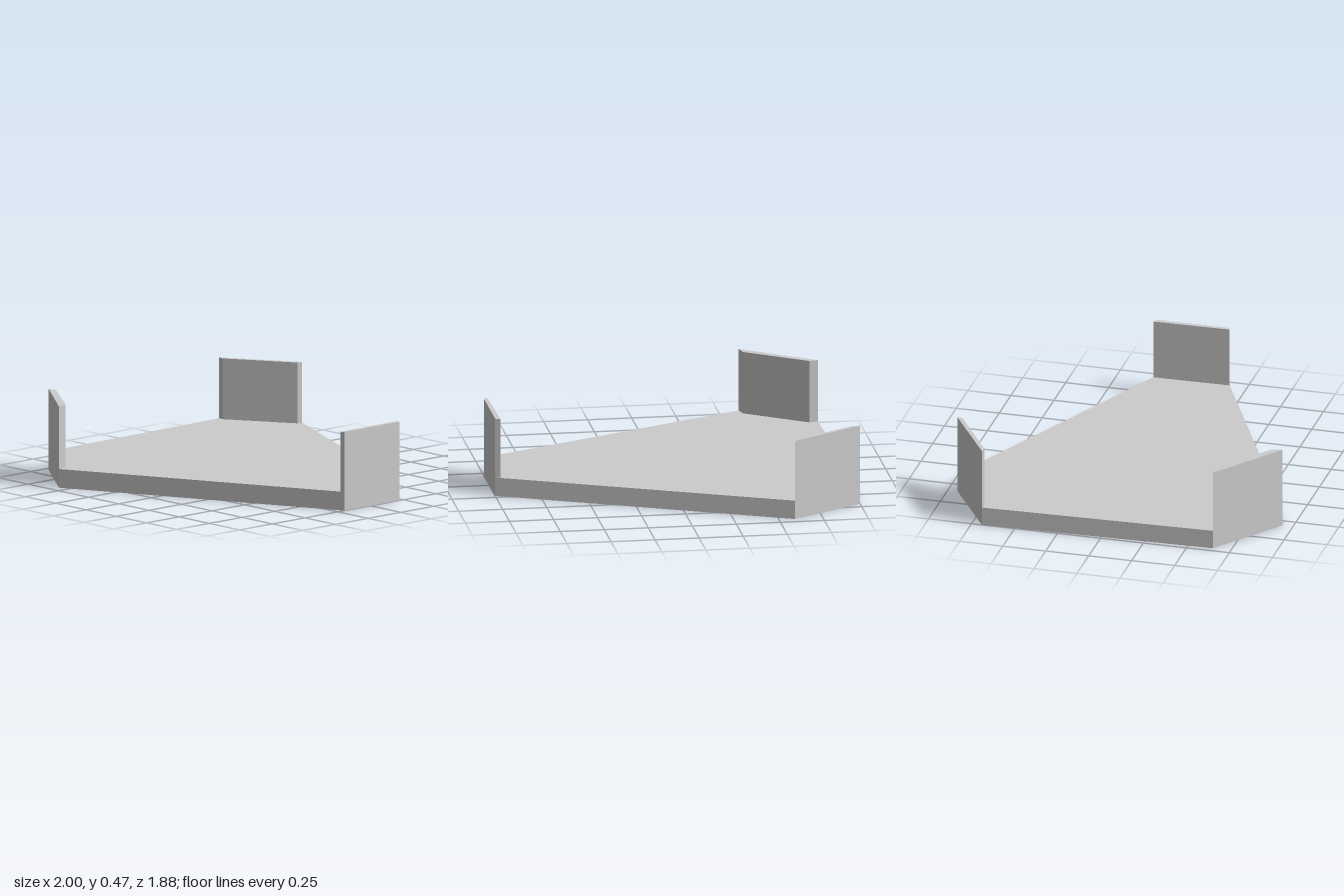
import * as THREE from 'three';

const PLATE_TOP = 0.107;
const material = new THREE.MeshStandardMaterial({ color: 0xcccccc, flatShading: true });

// Upright prism over a floor outline given as [x, z] corners
function prism(name, outline, bottom, top) {
  const shape = new THREE.Shape(outline.map(([x, z]) => new THREE.Vector2(x, -z)));
  const geometry = new THREE.ExtrudeGeometry(shape, { depth: top - bottom, bevelEnabled: false });
  geometry.rotateX(-Math.PI / 2);
  geometry.translate(0, bottom, 0);
  const mesh = new THREE.Mesh(geometry, material);
  mesh.name = name;
  return mesh;
}

export function createModel() {
  const group = new THREE.Group();
  group.name = 'cornerTray';

  // Six-sided base: a triangle with its three corners cut off
  const corners = [
    [-0.965, 0.645], [-0.56, 0.94],
    [1, 0.2], [1, -0.22],
    [-0.59, -0.945], [-1, -0.69],
  ];
  group.add(prism('basePlate', corners, 0, PLATE_TOP));

  // A thin upright wall on each cut corner: outer edge, inner edge, height
  const walls = [
    ['frontWall', 0, [[-0.575, 0.875], [-0.915, 0.635]], 0.465],
    ['leftWall', 2, [[0.972, -0.23], [0.978, 0.208]], 0.45],
    ['backWall', 4, [[-0.965, -0.685], [-0.595, -0.913]], 0.455],
  ];
  for (const [name, first, inner, top] of walls) {
    group.add(prism(name, [corners[first], corners[first + 1], ...inner], PLATE_TOP, top));
  }
  return group;
}
